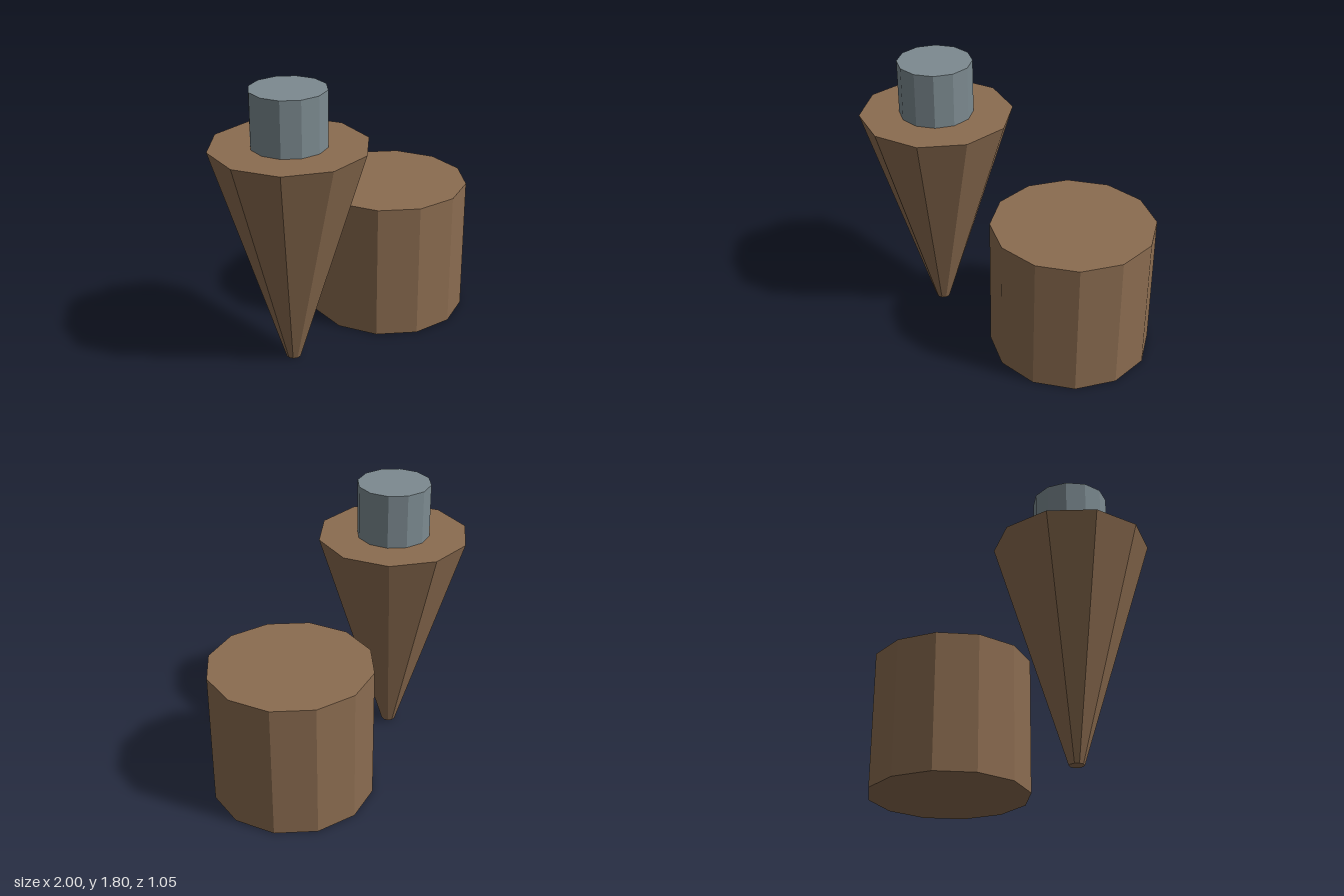
import * as THREE from 'three';

export function createModel() {
  const model = new THREE.Group();
  const wood = new THREE.MeshStandardMaterial({ color: 0x8b6c50, flatShading: true });
  wood.name = 'brownWood';
  const steel = new THREE.MeshStandardMaterial({ color: 0x7c8a90, flatShading: true });
  steel.name = 'greySteel';

  // Faceted column standing from bottom to top at x
  const column = (name, material, x, bottom, top, rTop, rBottom, sides, start = 0) => {
    const geometry = new THREE.CylinderGeometry(rTop, rBottom, top - bottom, sides, 1, false, start);
    const mesh = new THREE.Mesh(geometry, material);
    mesh.name = name;
    mesh.position.set(x, (bottom + top) / 2, 0);
    model.add(mesh);
  };

  // Round block
  column('block', wood, 0.475, 0, 0.905, 0.525, 0.525, 12);
  // Tapered peg, with corners on the x axis
  column('taperedPeg', wood, -0.51, 0, 1.447, 0.49, 0.047, 10, Math.PI / 2);
  // Cap on the peg
  column('pegCap', steel, -0.51, 1.447, 1.797, 0.236, 0.236, 12);

  return model;
}
